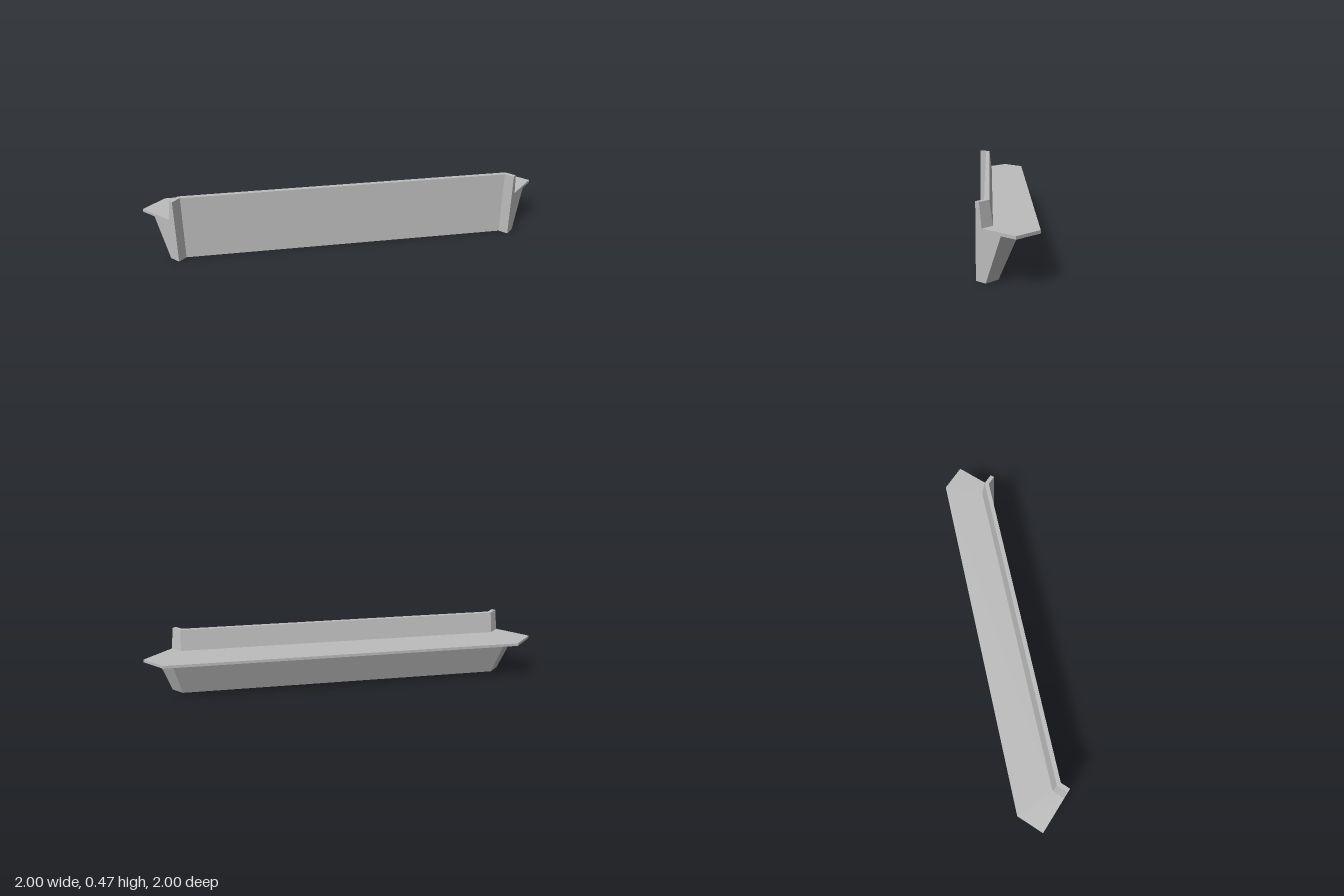
import * as THREE from 'three';

// Wall section (offset, height), counter-clockwise: base, ledge, parapet
const PROFILE = [
  [0.685, 0], [0.765, 0], [0.885, 0.295], [1, 0.295],
  [1, 0.315], [0.735, 0.315], [0.715, 0.465], [0.685, 0.465],
];

// Mitred corner position for a given offset (45 degree bend)
const miter = (d) => 0.93 - Math.tan(Math.PI / 8) * (d - 0.685);

// Stations along the path: short end, two bends, short end
const STATIONS = [
  ([d, y]) => [d, y, 1],
  ([d, y]) => [d, y, miter(d)],
  ([d, y]) => [-miter(d), y, -d],
  ([d, y]) => [-1, y, -d],
];

function sweepGeometry() {
  const rings = STATIONS.map((place) => PROFILE.map(place));
  const positions = [];
  const tri = (a, b, c) => positions.push(...a, ...b, ...c);

  // Long faces between neighbouring stations
  for (let s = 0; s < rings.length - 1; s++) {
    for (let i = 0; i < PROFILE.length; i++) {
      const j = (i + 1) % PROFILE.length;
      const a = rings[s][i], b = rings[s][j];
      const c = rings[s + 1][j], d = rings[s + 1][i];
      tri(a, d, c);
      tri(a, c, b);
    }
  }

  // End caps
  const first = rings[0], last = rings[rings.length - 1];
  const contour = PROFILE.map(([d, y]) => new THREE.Vector2(d, y));
  for (const [a, b, c] of THREE.ShapeUtils.triangulateShape(contour, [])) {
    tri(first[a], first[b], first[c]);
    tri(last[a], last[c], last[b]);
  }

  const geometry = new THREE.BufferGeometry();
  geometry.setAttribute('position', new THREE.Float32BufferAttribute(positions, 3));
  geometry.computeVertexNormals();
  return geometry;
}

export function createModel() {
  const group = new THREE.Group();
  group.name = 'diagonalWall';
  const grey = new THREE.MeshStandardMaterial({ color: 0xbcbcbc });
  grey.name = 'light grey';
  grey.flatShading = true;

  // Wall with parapet and ledge, swept round both bends
  const wall = new THREE.Mesh(sweepGeometry(), grey);
  wall.name = 'wallWithLedge';
  group.add(wall);
  return group;
}
